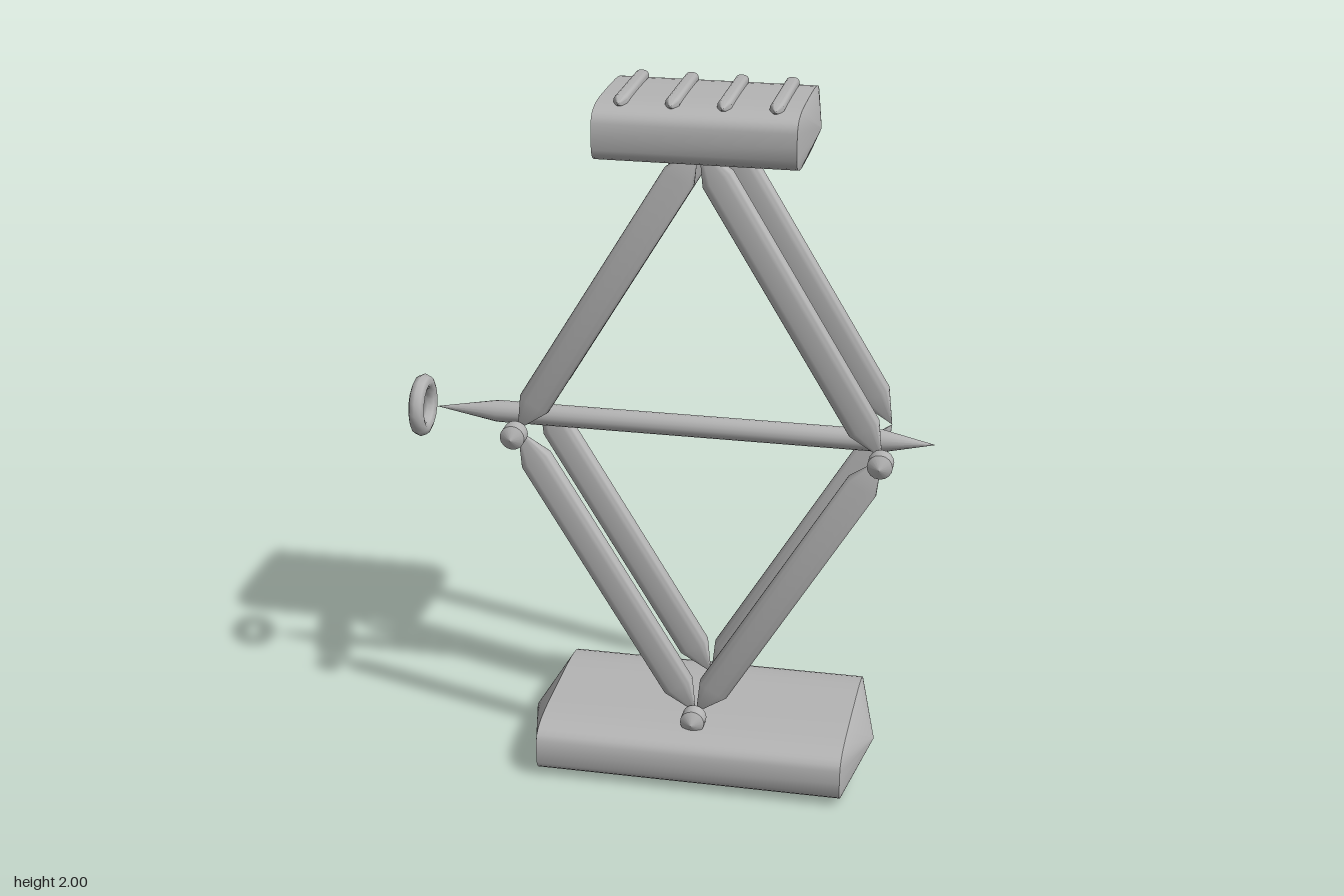
import * as THREE from 'three';
import { toCreasedNormals } from 'three/addons/utils/BufferGeometryUtils.js';

const steel = new THREE.MeshStandardMaterial({ color: 0xb4b4b4 });
steel.name = 'steel grey';

// Bar from a to b with pointed ends: halfU and halfV are the half widths,
// power 2 gives a round section, higher powers a boxier one.
function bar(name, a, b, halfU, halfV, cap, power = 2, sides = 16) {
  const start = new THREE.Vector3(...a), end = new THREE.Vector3(...b);
  const h = start.distanceTo(end) / 2;
  const profile = [[0, -h], [1, -h + cap], [1, h - cap], [0, h]].map(p => new THREE.Vector2(...p));
  const geo = new THREE.LatheGeometry(profile, sides);
  const pos = geo.attributes.position;
  const square = v => Math.sign(v) * Math.abs(v) ** (2 / power);
  for (let i = 0; i < pos.count; i++) {
    pos.setX(i, square(pos.getX(i)) * halfU);
    pos.setZ(i, square(pos.getZ(i)) * halfV);
  }
  const mesh = new THREE.Mesh(toCreasedNormals(geo, 0.7), steel);
  mesh.name = name;
  mesh.position.copy(start).add(end).multiplyScalar(0.5);
  mesh.quaternion.setFromUnitVectors(new THREE.Vector3(0, 1, 0), end.sub(start).normalize());
  return mesh;
}

export function createModel() {
  const jack = new THREE.Group();
  jack.name = 'scissorJack';
  const cx = 0.095, midY = 1.025, reach = 0.51;

  // Base foot and load pad
  jack.add(bar('base', [cx - 0.505, 0.083, 0], [cx + 0.505, 0.083, 0], 0.083, 0.272, 0.065, 4, 32));
  jack.add(bar('topPad', [cx - 0.305, 1.902, 0], [cx + 0.305, 1.902, 0], 0.081, 0.204, 0.035, 4, 32));

  // Grip ridges on the pad
  for (let i = 0; i < 4; i++) {
    const x = -0.11 + i * 0.137;
    jack.add(bar('gripRidge', [x, 1.982, -0.17], [x, 1.982, 0.17], 0.019, 0.018, 0.035, 2.5));
  }

  // Front and back pairs of folding arms
  for (const z of [-0.122, 0.122]) {
    for (const side of [-1, 1]) {
      const joint = [cx + side * reach, midY, z];
      jack.add(bar('upperArm', joint, [cx, 1.87, z], 0.046, 0.026, 0.1, 3.5, 24));
      jack.add(bar('lowerArm', joint, [cx, 0.18, z], 0.046, 0.026, 0.1, 3.5, 24));
    }
  }

  // Pivot pins on the front
  for (const [x, y] of [[cx - reach, midY], [cx + reach, midY], [cx, 0.18]]) {
    jack.add(bar('pivotPin', [x, y, 0.121], [x, y, 0.205], 0.035, 0.035, 0.022));
  }

  // Drive screw, with a longer point on the crank side
  jack.add(bar('driveScrew', [-0.65, midY, 0], [0.738, midY, 0], 0.031, 0.031, 0.144));
  const screw = jack.children.at(-1);
  const pos = screw.geometry.attributes.position;
  let low = Infinity;
  for (let i = 0; i < pos.count; i++) low = Math.min(low, pos.getY(i));
  for (let i = 0; i < pos.count; i++) if (pos.getY(i) < low + 0.01) pos.setY(i, low - 0.035);

  // Crank eye
  const eye = new THREE.Mesh(new THREE.TorusGeometry(0.067, 0.023, 8, 16), steel);
  eye.name = 'crankEye';
  eye.rotation.y = Math.PI / 2;
  eye.position.set(-0.727, midY, 0);
  jack.add(eye);

  return jack;
}
